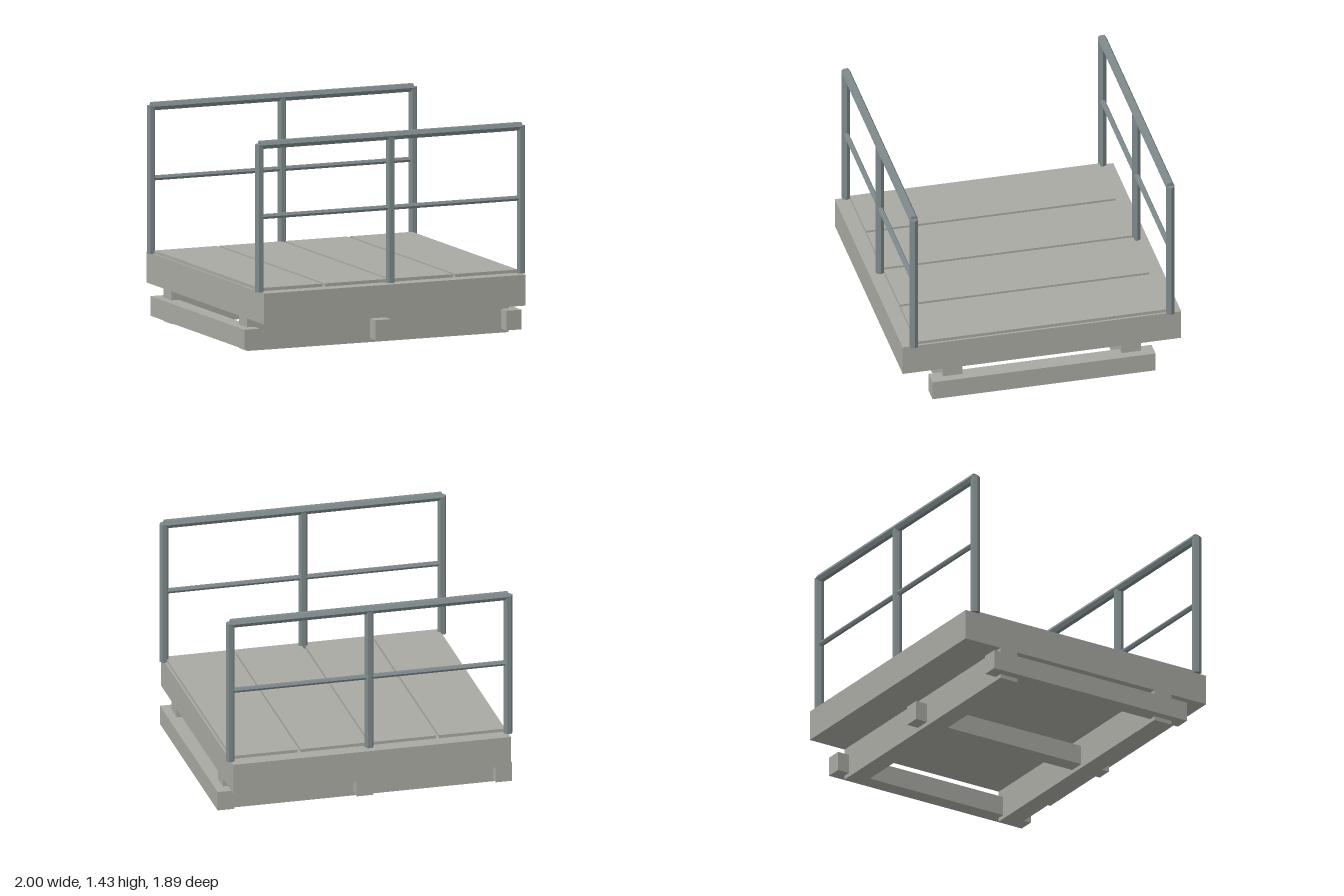
import * as THREE from 'three';

export function createModel() {
  const model = new THREE.Group();
  model.name = 'platform';
  const timber = new THREE.MeshStandardMaterial({ name: 'weathered grey', color: 0xa8a9a2 });
  const steel = new THREE.MeshStandardMaterial({ name: 'steel grey', color: 0x7f8a8c, flatShading: true });

  // Box given by its min and max on each axis
  function box(name, [x0, x1], [y0, y1], [z0, z1]) {
    const mesh = new THREE.Mesh(new THREE.BoxGeometry(x1 - x0, y1 - y0, z1 - z0), timber);
    mesh.position.set((x0 + x1) / 2, (y0 + y1) / 2, (z0 + z1) / 2);
    mesh.name = name;
    model.add(mesh);
  }

  // Six-sided bar; the corners point along x before any tilt
  function hexBar(parent, name, radius, length, x, y, alongX) {
    const geometry = new THREE.CylinderGeometry(radius, radius, length, 6);
    // upright: corners on ±x; lying: corners on ±z, flats above and below
    if (alongX) geometry.rotateZ(Math.PI / 2);
    else geometry.rotateY(Math.PI / 2);
    const mesh = new THREE.Mesh(geometry, steel);
    mesh.position.set(x, y, 0);
    mesh.name = name;
    parent.add(mesh);
  }

  // Deck slab and the runners under it
  box('deckSlab', [-0.943, 0.943], [0.217, 0.423], [-0.943, 0.943]);
  for (const z of [-0.604, 0.604]) {
    box('runner', [-0.943, 0.943], [0, 0.217], [z - 0.066, z + 0.066]);
  }

  // Cross beams passing through the runners
  for (const x of [-0.945, 0, 0.945]) {
    box('crossBeam', [x - 0.055, x + 0.055], [0.027, 0.158], [-0.755, 0.755]);
  }

  // Four deck boards with narrow gaps
  for (let i = 0; i < 4; i++) {
    const x = -0.705 + i * 0.47;
    box('deckBoard', [x - 0.224, x + 0.224], [0.423, 0.444], [-0.845, 0.845]);
  }

  // Handrails at the front and back
  for (const z of [-0.868, 0.868]) {
    const rail = new THREE.Group();
    rail.name = z > 0 ? 'frontHandrail' : 'backHandrail';
    rail.position.z = z;
    for (const x of [-0.944, 0, 0.944]) {
      const height = x === 0 ? 0.975 : 0.985;
      hexBar(rail, 'post', 0.03, height, x, 0.423 + height / 2, false);
    }
    hexBar(rail, 'topRail', 0.03, 1.886, 0, 1.403, true);
    hexBar(rail, 'middleRail', 0.018, 1.886, 0, 0.924, true);
    model.add(rail);
  }
  return model;
}
